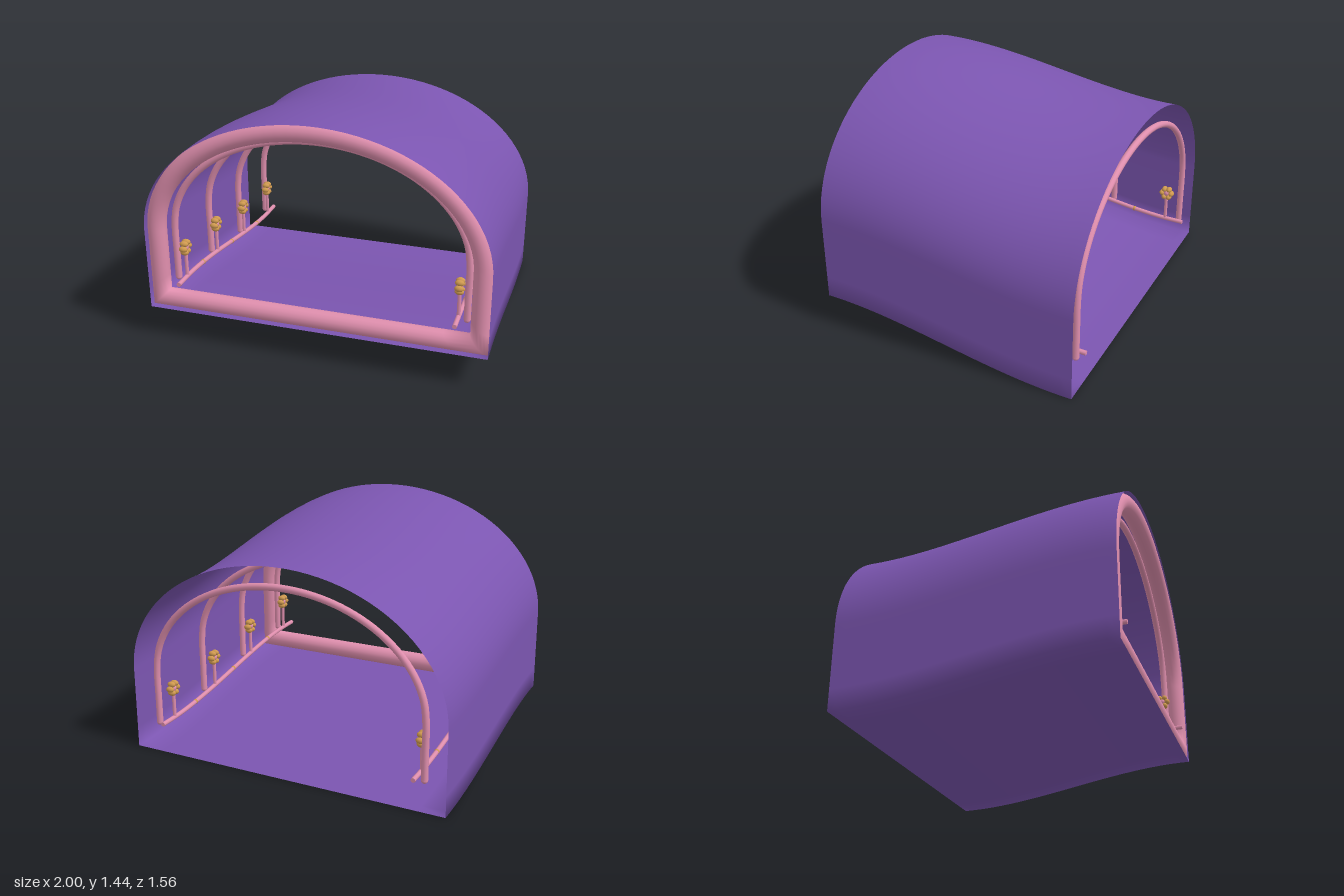
import * as THREE from 'three';

const HALF = 0.78;    // half length along z
const RISE = 0.2;     // how far the front end is lifted
const WALL = 0.5;     // straight wall height

// gentle S-shaped lift from back to front
function lift(z) {
  const t = THREE.MathUtils.clamp((z + HALF) / (2 * HALF), 0, 1);
  return RISE * t * t * (3 - 2 * t);
}

// closed tunnel cross-section, counter-clockwise, inset by d
function section(d) {
  const pts = [];
  const w = 1 - d, h = 0.74 - d;
  for (let i = 0; i < 12; i++) pts.push([-w + (2 * w * i) / 12, d]);
  for (let i = 0; i < 4; i++) pts.push([w, d + ((WALL - d) * i) / 4]);
  for (let i = 0; i < 48; i++) {
    const a = (Math.PI * i) / 48;
    pts.push([w * Math.cos(a), WALL + h * Math.sin(a)]);
  }
  for (let i = 0; i < 4; i++) pts.push([-w, WALL + ((d - WALL) * i) / 4]);
  return pts;
}

// skin over rings of {inset, z, y}; loop joins the last ring to the first
function loft(rings, loop) {
  const pos = [], index = [];
  const n = section(0).length;
  for (const r of rings) for (const [x, y] of section(r.inset)) pos.push(x, y + r.y, r.z);
  const count = loop ? rings.length : rings.length - 1;
  for (let i = 0; i < count; i++) {
    const k = (i + 1) % rings.length;
    for (let j = 0; j < n; j++) {
      const m = (j + 1) % n;
      const a = i * n + j, b = i * n + m, c = k * n + m, d = k * n + j;
      index.push(a, b, c, a, c, d);
    }
  }
  const geo = new THREE.BufferGeometry();
  geo.setAttribute('position', new THREE.Float32BufferAttribute(pos, 3));
  geo.setIndex(index);
  geo.computeVertexNormals();
  return geo;
}

export function createModel() {
  const model = new THREE.Group();
  const make = (name, color) => {
    const m = new THREE.MeshStandardMaterial({ color });
    m.name = name;
    return m;
  };
  const purple = make('purple', 0x7b55b0);
  purple.side = THREE.DoubleSide;
  const pink = make('pink', 0xe08fae);
  const gold = make('gold', 0xd09a50);

  const add = (parent, name, geo, mat, x = 0, y = 0, z = 0) => {
    const mesh = new THREE.Mesh(geo, mat);
    mesh.name = name;
    mesh.position.set(x, y, z);
    parent.add(mesh);
    return mesh;
  };

  // thin tunnel shell: floor, walls and vault
  const shellRings = [];
  for (let i = 0; i <= 24; i++) {
    const z = -HALF + (2 * HALF * i) / 24;
    shellRings.push({ inset: 0, z, y: lift(z) });
  }
  add(model, 'tunnelShell', loft(shellRings, false), purple);

  // rounded trim around the front opening
  const trimRings = [];
  const r = 0.055;
  for (let i = 0; i < 16; i++) {
    const a = (2 * Math.PI * i) / 16;
    trimRings.push({ inset: 0.001 + r * (1 - Math.cos(a)), z: HALF - r + 0.001 + r * Math.sin(a), y: RISE });
  }
  add(model, 'frontTrim', loft(trimRings, true), pink);

  // arched ribs inside the vault
  const ribPts = [new THREE.Vector3(0.86, 0.17, 0), new THREE.Vector3(0.86, 0.33, 0)];
  for (let i = 0; i <= 16; i++) {
    const a = (Math.PI * i) / 16;
    ribPts.push(new THREE.Vector3(0.86 * Math.cos(a), WALL + 0.615 * Math.sin(a), 0));
  }
  ribPts.push(new THREE.Vector3(-0.86, 0.33, 0), new THREE.Vector3(-0.86, 0.17, 0));
  const ribGeo = new THREE.TubeGeometry(new THREE.CatmullRomCurve3(ribPts), 72, 0.02, 10);
  const capGeo = new THREE.SphereGeometry(0.02, 10, 8);
  for (const z of [-0.74, -0.27, 0.2, 0.67]) {
    const rib = new THREE.Group();
    rib.name = 'rib';
    rib.position.set(0, lift(z), z);
    add(rib, 'ribArch', ribGeo, pink);
    for (const s of [-1, 1]) add(rib, 'ribFoot', capGeo, pink, s * 0.86, 0.17, 0);
    model.add(rib);
  }

  // side rails following the slope, with flower posts
  const railPts = [];
  for (let i = 0; i <= 10; i++) {
    const z = -HALF + (2 * HALF * i) / 10;
    railPts.push(new THREE.Vector3(0, lift(z) + 0.175, z));
  }
  const railGeo = new THREE.TubeGeometry(new THREE.CatmullRomCurve3(railPts), 40, 0.014, 8);
  const railCapGeo = new THREE.CircleGeometry(0.014, 8);
  const stemGeo = new THREE.CylinderGeometry(0.011, 0.011, 0.18, 8);
  const petalGeo = new THREE.SphereGeometry(0.018, 10, 8);
  const centreGeo = new THREE.SphereGeometry(0.02, 10, 8);
  const studGeo = new THREE.SphereGeometry(0.016, 8, 6);
  for (const s of [-1, 1]) {
    const side = new THREE.Group();
    side.name = s > 0 ? 'leftRail' : 'rightRail';
    side.position.x = s * 0.81;
    add(side, 'rail', railGeo, pink);
    add(side, 'railEnd', railCapGeo, pink, 0, RISE + 0.175, HALF);
    add(side, 'railEnd', railCapGeo, pink, 0, 0.175, -HALF).rotation.y = Math.PI;
    for (const z of [-0.66, -0.22, 0.22, 0.66]) {
      const post = new THREE.Group();
      post.name = 'flowerPost';
      post.position.set(0, lift(z) + 0.175, z);
      add(post, 'stem', stemGeo, pink, 0, 0.09, 0);
      add(post, 'flowerCentre', centreGeo, pink, 0, 0.19, 0);
      for (let i = 0; i < 6; i++) {
        const a = (Math.PI * 2 * i) / 6;
        add(post, 'petal', petalGeo, gold, 0, 0.19 + 0.031 * Math.sin(a), 0.031 * Math.cos(a)).scale.x = 1.5;
      }
      side.add(post);
    }
    // small studs along the rail
    for (const z of [-0.44, 0, 0.44]) add(side, 'railStud', studGeo, gold, 0, lift(z) + 0.175, z);
    model.add(side);
  }
  return model;
}
